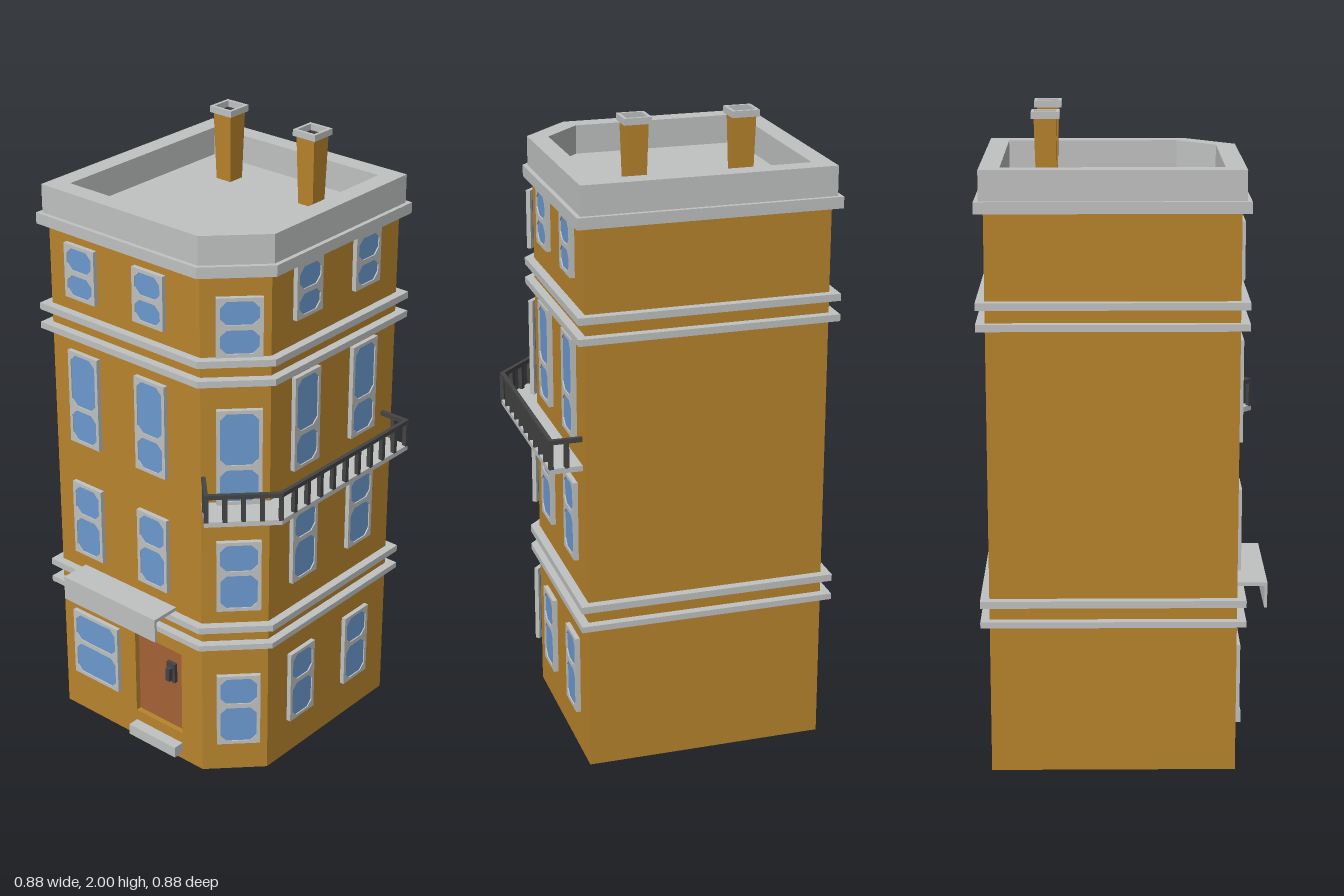
import * as THREE from 'three';

const mat = (name, color) => Object.assign(new THREE.MeshStandardMaterial({ color }), { name });

export function createModel() {
  const ochre = mat('ochre wall', 0xb8842c);
  const stone = mat('pale stone', 0xc0c2c1);
  const glass = mat('blue glass', 0x6c9ad0);
  const wood = mat('brown door', 0xa46337);
  const iron = mat('dark iron', 0x444444);
  iron.side = THREE.DoubleSide;

  const model = new THREE.Group();
  model.name = 'cornerTownhouse';

  const add = (name, geo, material, parent = model) => {
    const mesh = new THREE.Mesh(geo, material);
    mesh.name = name;
    parent.add(mesh);
    return mesh;
  };
  // Box given by its extents
  const box = (name, x0, x1, y0, y1, z0, z1, material, parent) =>
    add(name, new THREE.BoxGeometry(x1 - x0, y1 - y0, z1 - z0), material, parent)
      .position.set((x0 + x1) / 2, (y0 + y1) / 2, (z0 + z1) / 2);
  // Upright prism over a footprint of [x, z] points, with an optional hole
  const toShape = pts => new THREE.Shape(pts.map(([x, z]) => new THREE.Vector2(x, -z)));
  const prism = (name, pts, y0, y1, material, hole, parent) => {
    const shape = toShape(pts);
    if (hole) shape.holes.push(toShape(hole));
    const geo = new THREE.ExtrudeGeometry(shape, { depth: y1 - y0, bevelEnabled: false });
    return add(name, geo.rotateX(-Math.PI / 2).translate(0, y0, 0), material, parent);
  };
  // Footprint with one cut corner, grown by o; notch sets the door back
  const L = -0.415, R = 0.334, F = 0.338, B = -0.411;
  const outline = (o, notch = []) => {
    const k = o * Math.tan(Math.PI / 8);
    return [[L - o, B - o], [L - o, F + o], ...notch,
      [0.187 + k, F + o], [R + o, 0.191 + k], [R + o, B - o]];
  };

  // Walls, with the doorway set into the ground floor
  const back = F - 0.03;
  prism('wallBase', outline(0), 0, 0.1, ochre);
  prism('wallAroundDoor', outline(0, [[-0.1, F], [-0.1, back], [0.1, back], [0.1, F]]), 0.1, 0.403, ochre);
  prism('wallUpper', outline(0), 0.403, 1.73, ochre);

  // Stone courses, cornice, roof and parapet
  for (const [y0, y1] of [[0.472, 0.491], [0.535, 0.557], [1.385, 1.406], [1.448, 1.47]])
    prism('stoneCourse', outline(0.027), y0, y1, stone);
  prism('corniceAndRoof', outline(0.027), 1.73, 1.765, stone);
  prism('parapet', outline(0.013), 1.765, 1.855, stone, outline(-0.048));

  // Entrance
  box('door', -0.1, 0.1, 0.1, 0.403, back, back + 0.012, wood);
  box('doorPlate', 0.03, 0.065, 0.275, 0.345, back + 0.012, back + 0.024, iron);
  box('doorHandle', 0.04, 0.055, 0.285, 0.33, back + 0.024, back + 0.04, iron);
  box('doorStep', -0.1, 0.1, 0.024, 0.062, F - 0.01, 0.375, stone);
  box('canopyTop', -0.313, 0.08, 0.56, 0.572, F, 0.437, stone);
  box('canopyLip', -0.313, 0.08, 0.49, 0.56, 0.428, 0.437, stone);

  // Window: frame with two cut-corner panes, split at height s above the sill
  const addWindow = (w, y0, h, s, x, z, turn) => {
    const g = new THREE.Group();
    g.name = 'window';
    const a = w / 2, m = 0.011, c = 0.02;
    const frame = new THREE.Shape([[-a, 0], [a, 0], [a, h], [-a, h]].map(p => new THREE.Vector2(...p)));
    for (const [b, t] of [[m, s - 0.008], [s + 0.008, h - m]]) {
      const e = a - m;
      frame.holes.push(new THREE.Path([[c - e, b], [e - c, b], [e, b + c], [e, t - c],
        [e - c, t], [c - e, t], [-e, t - c], [-e, b + c]].map(p => new THREE.Vector2(...p))));
    }
    add('windowFrame', new THREE.ExtrudeGeometry(frame, { depth: 0.015, bevelEnabled: false }), stone, g);
    box('windowGlass', 0.004 - a, a - 0.004, 0.004, h - 0.004, 0.003, 0.011, glass, g);
    g.position.set(x, y0, z);
    g.rotation.y = turn;
    model.add(g);
  };

  // Front windows: [sill, height, split]
  for (const [y, h, s] of [[0.62, 0.258, 0.141], [1.024, 0.313, 0.122], [1.517, 0.175, 0.085]])
    for (const x of [-0.281, -0.005]) addWindow(0.122, y, h, s, x, F, 0);
  addWindow(0.196, 0.146, 0.241, 0.127, -0.265, F, 0);
  // Side windows
  for (const [y, h, s] of [[0.13, 0.255, 0.143], [0.652, 0.255, 0.146], [1.05, 0.313, 0.12], [1.55, 0.174, 0.084]])
    for (const z of [0.034, -0.245]) addWindow(0.12, y, h, s, R, z, Math.PI / 2);
  // Corner windows, standing just clear of the wall
  for (const [y, h, s] of [[0.125, 0.257, 0.145], [0.624, 0.244, 0.134], [1.0, 0.315, 0.125], [1.487, 0.187, 0.094]])
    addWindow(0.137, y, h, s, 0.285, 0.277, Math.PI / 4);

  // Balcony slab wrapping the cut corner
  const balcony = new THREE.Group();
  balcony.name = 'balcony';
  model.add(balcony);
  prism('balconySlab', [[0.3, -0.367], [0.436, -0.367], [0.436, 0.256], [0.272, 0.421],
    [0.188, 0.337], [0.3, 0.2]], 0.97, 0.987, stone, null, balcony);

  // Railing: a bar along each run with evenly spaced posts
  const path = [[0.334, -0.361], [0.43, -0.361], [0.43, 0.254], [0.272, 0.412], [0.194, 0.334]];
  const spaces = [2, 10, 4, 2];
  for (let i = 0; i < 4; i++) {
    const [x0, z0] = path[i], [x1, z1] = path[i + 1];
    const len = Math.hypot(x1 - x0, z1 - z0), angle = Math.atan2(x1 - x0, z1 - z0);
    const bar = add('handrail', new THREE.BoxGeometry(0.013, 0.014, len + 0.01), iron, balcony);
    bar.position.set((x0 + x1) / 2, 1.07, (z0 + z1) / 2);
    bar.rotation.y = angle;
    for (let j = i ? 0 : 1; j < spaces[i]; j++) {
      const t = j / spaces[i];
      const post = add('railPost', new THREE.BoxGeometry(0.014, 0.08, 0.014), iron, balcony);
      post.position.set(x0 + (x1 - x0) * t, 1.025, z0 + (z1 - z0) * t);
      post.rotation.y = angle;
    }
  }

  // Hollow chimneys, flaring slightly to a stone cap
  const shaft = (top, bottom) => {
    const geo = new THREE.CylinderGeometry(top * Math.SQRT2, bottom * Math.SQRT2, 0.215, 4, 1, true)
      .rotateY(Math.PI / 4).toNonIndexed();
    geo.computeVertexNormals();
    return geo;
  };
  const square = r => [[-r, -r], [-r, r], [r, r], [r, -r]];
  for (const x of [-0.194, 0.133]) {
    const chimney = new THREE.Group();
    chimney.name = 'chimney';
    add('chimneyShaft', shaft(0.034, 0.028), ochre, chimney).position.y = 1.8725;
    add('chimneyFlue', shaft(0.032, 0.027), iron, chimney).position.y = 1.8725;
    prism('chimneyCap', square(0.042), 1.98, 2, stone, square(0.032), chimney);
    chimney.position.set(x, 0, -0.234);
    model.add(chimney);
  }
  return model;
}
